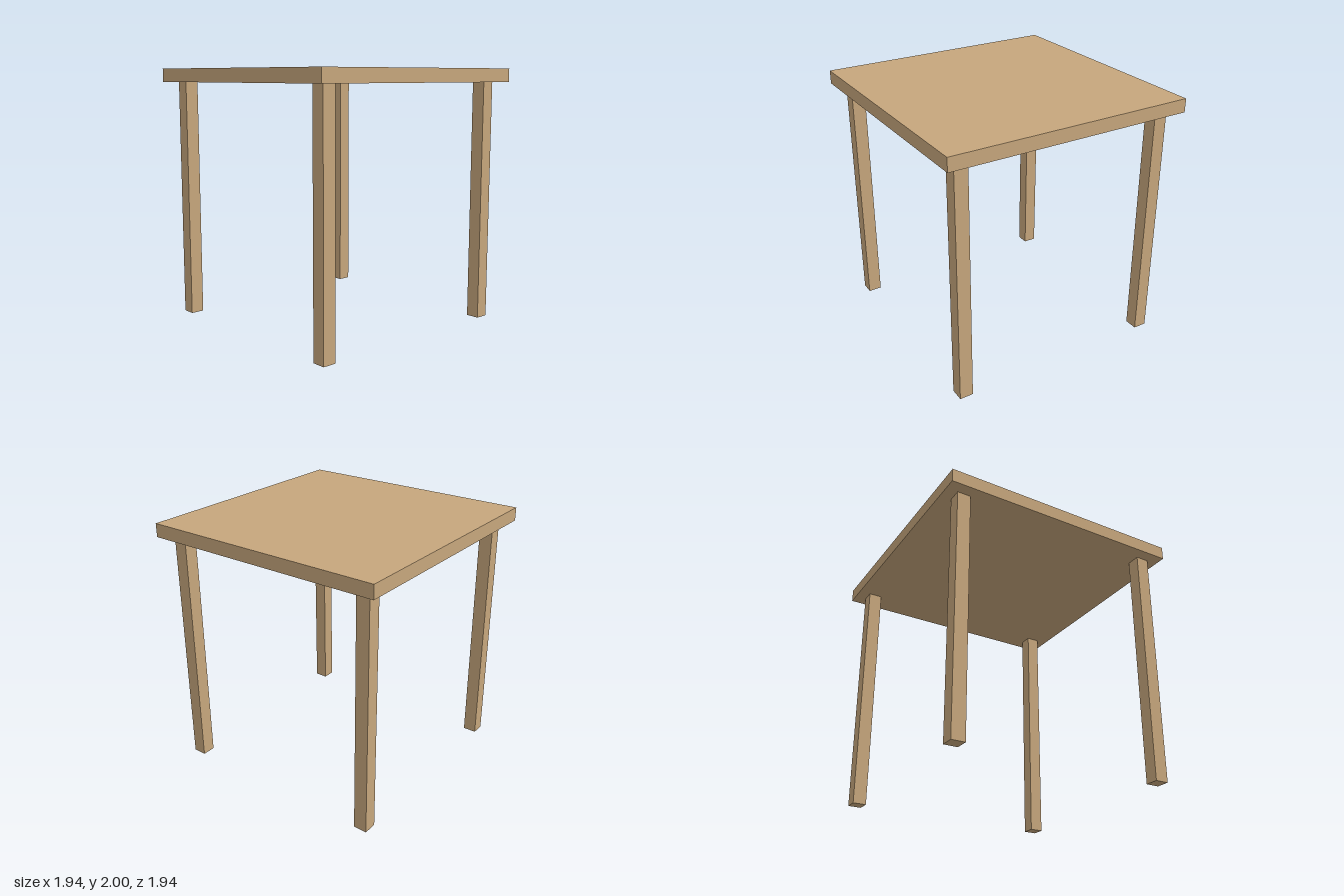
import * as THREE from 'three';

export function createModel() {
  const group = new THREE.Group();
  group.name = 'table';
  const wood = new THREE.MeshStandardMaterial({ color: 0xc6a67c });
  wood.name = 'light wood';

  const height = 2, topSize = 1.944, topThickness = 0.105;
  const legWidth = 0.106, legOffset = 0.828;
  const legHeight = height - topThickness;

  // Square table top
  const top = new THREE.Mesh(new THREE.BoxGeometry(topSize, topThickness, topSize), wood);
  top.name = 'tableTop';
  top.position.y = height - topThickness / 2;
  group.add(top);

  // Four square legs, inset from the corners
  const legGeometry = new THREE.BoxGeometry(legWidth, legHeight, legWidth);
  for (const [zName, z] of [['front', 1], ['back', -1]]) {
    for (const [xName, x] of [['Left', 1], ['Right', -1]]) {
      const leg = new THREE.Mesh(legGeometry, wood);
      leg.name = `${zName}${xName}Leg`;
      leg.position.set(x * legOffset, legHeight / 2, z * legOffset);
      group.add(leg);
    }
  }
  return group;
}
